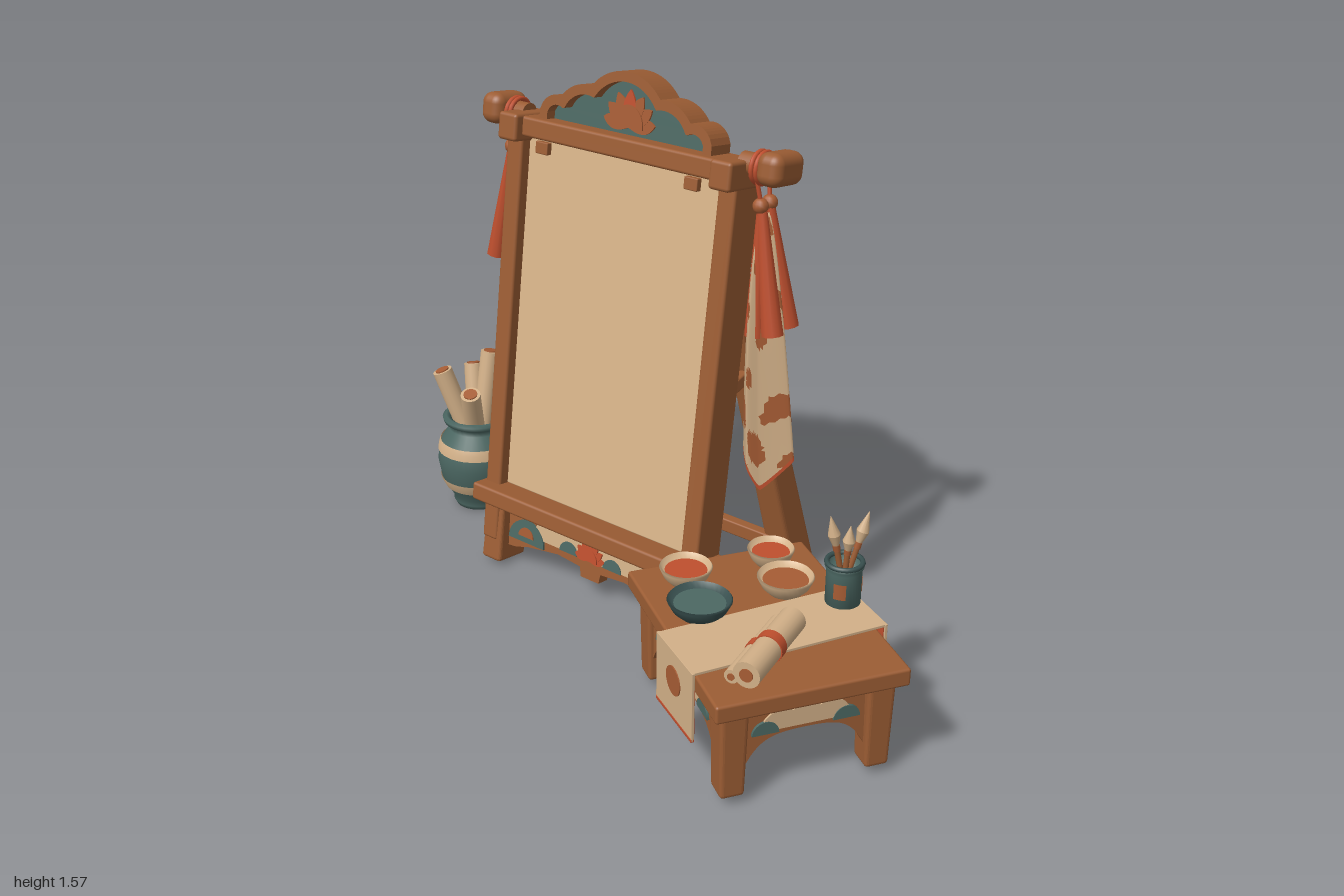
import * as THREE from 'three';
import { RoundedBoxGeometry } from 'three/addons/geometries/RoundedBoxGeometry.js';
import { ParametricGeometry } from 'three/addons/geometries/ParametricGeometry.js';

const V = (x, y, z) => new THREE.Vector3(x, y, z);
const mat = (name, color, side = THREE.FrontSide) => {
  const m = new THREE.MeshStandardMaterial({ color, side });
  m.name = name;
  return m;
};

export function createModel() {
  const wood = mat('wood', 0x9c5d34), rust = mat('rust', 0xa65c34, THREE.DoubleSide);
  const cream = mat('cream', 0xd2b088, THREE.DoubleSide), canvasTan = mat('canvas', 0xd9b58a);
  const teal = mat('teal', 0x4c6863), darkTeal = mat('darkTeal', 0x384f4e);
  const red = mat('vermilion', 0xbf4f2e, THREE.DoubleSide);
  const model = new THREE.Group();

  // helpers
  const group = (name, parent = model) => {
    const g = new THREE.Group();
    g.name = name;
    parent.add(g);
    return g;
  };
  const add = (parent, name, geo, m, x = 0, y = 0, z = 0) => {
    const o = new THREE.Mesh(geo, m);
    o.name = name;
    o.position.set(x, y, z);
    parent.add(o);
    return o;
  };
  const boxGeo = (w, h, d) => new RoundedBoxGeometry(w, h, d, 2, Math.min(w, h, d) * 0.15);
  const box = (p, name, m, w, h, d, x, y, z) => add(p, name, boxGeo(w, h, d), m, x, y, z);
  const along = (o, a, b) => {
    o.position.copy(a).add(b).multiplyScalar(0.5);
    o.quaternion.setFromUnitVectors(V(0, 1, 0), b.clone().sub(a).normalize());
    return o;
  };
  const beam = (p, name, m, a, b, w, d) => along(add(p, name, boxGeo(w, a.distanceTo(b), d), m), a, b);
  const rod = (p, name, m, a, b, rTop, rBottom = rTop, sides = 16) =>
    along(add(p, name, new THREE.CylinderGeometry(rTop, rBottom, a.distanceTo(b), sides), m), a, b);
  const taper = (geo, h, top, bottom) => {
    const q = geo.attributes.position;
    for (let i = 0; i < q.count; i++) {
      const k = THREE.MathUtils.lerp(bottom, top, q.getY(i) / h + 0.5);
      q.setXYZ(i, q.getX(i) * k, q.getY(i), q.getZ(i) * k);
    }
    geo.computeVertexNormals();
    return geo;
  };
  const lathe = pts => new THREE.LatheGeometry(pts.map(p => new THREE.Vector2(...p)), 32);
  const slab = (shape, depth) => new THREE.ExtrudeGeometry(shape, { depth, bevelEnabled: false, curveSegments: 16 });
  const poly = pts => new THREE.Shape(pts.map(p => new THREE.Vector2(...p)));
  // outline over the union of circles [x, y, r], mirrored, closed by a flat base
  const scallop = (circles, half, base) => {
    const pts = [[-half, base]];
    for (let i = 0; i <= 80; i++) {
      const x = half * (i / 40 - 1), h = circles.map(([cx, cy, r]) =>
        cy + Math.sqrt(Math.max(0, r * r - (Math.abs(x) - cx) ** 2)));
      pts.push([x, Math.max(base + 0.001, ...h)]);
    }
    pts.push([half, base]);
    return poly(pts.reverse());
  };
  const lotus = (p, x, y, z, size, outer, tip) => {
    const g = group('lotus', p);
    g.position.set(x, y, z);
    for (let i = -3; i <= 3; i++) {
      const s = new THREE.Shape(), k = size * (1 - Math.abs(i) * 0.04);
      s.moveTo(0, 0);
      s.quadraticCurveTo(size * 0.4, size * 0.55, 0, k);
      s.quadraticCurveTo(-size * 0.4, size * 0.55, 0, 0);
      const petal = add(g, 'petal', slab(s, 0.005), i ? outer : tip, 0, 0, 0.001 * (3 - Math.abs(i)));
      petal.rotation.z = -i * 0.46;
    }
    const heart = add(g, 'lotusHeart', slab(scallop([[0, 0, size * 0.5]], size * 0.5, 0), 0.004), outer, 0, 0, 0.006);
    heart.scale.y = 1.2;
  };
  // sort the triangles of a sheet into material groups by a rule on u, v
  const paint = (geo, rule, mats) => {
    const uv = geo.attributes.uv, src = geo.index.array, lists = mats.map(() => []);
    for (let i = 0; i < src.length; i += 3) {
      const t = [src[i], src[i + 1], src[i + 2]];
      const u = t.reduce((s, k) => s + uv.getX(k), 0) / 3, v = t.reduce((s, k) => s + uv.getY(k), 0) / 3;
      lists[rule(u, v)].push(...t);
    }
    geo.setIndex(lists.flat());
    let start = 0;
    lists.forEach((l, i) => { geo.addGroup(start, l.length, i); start += l.length; });
    return geo;
  };

  // leaning frame
  const easel = group('easel');
  easel.position.x = -0.175;
  const frame = group('frame', easel);
  frame.position.set(0, 0.008, -0.01);
  frame.rotation.x = -0.136;
  box(frame, 'canvas', canvasTan, 0.73, 1.09, 0.03, 0, 0.8, 0.01);
  for (const s of [-1, 1]) {
    box(frame, 'post', wood, 0.058, 1.3, 0.115, s * 0.377, 0.72, 0.003);
    add(frame, 'foot', taper(boxGeo(0.07, 0.24, 0.108), 0.24, 0.95, 1.1), wood, s * 0.368, 0.12, 0);
    box(frame, 'postCap', wood, 0.07, 0.08, 0.155, s * 0.375, 1.357, 0.022);
    box(frame, 'clip', wood, 0.045, 0.035, 0.02, s * 0.265, 1.312, 0.06);
    rod(frame, 'rollerEnd', wood, V(s * 0.38, 1.385, 0), V(s * 0.47, 1.385, 0), 0.032);
    add(frame, 'knob', new RoundedBoxGeometry(0.078, 0.09, 0.135, 4, 0.03), wood, s * 0.487 + 0.008, 1.39, 0);
  }
  box(frame, 'topRail', wood, 0.82, 0.058, 0.125, 0, 1.362, 0.008);
  box(frame, 'bottomRail', wood, 0.835, 0.055, 0.16, 0, 0.229, 0.027);

  // scalloped crest
  const arcs = [[0, 1.41, 0.156], [0.135, 1.395, 0.115], [0.24, 1.4, 0.065]];
  const inset = d => arcs.map(([x, y, r]) => [x, y, r - d]);
  const crest = scallop(arcs, 0.303, 1.38);
  crest.holes.push(scallop(inset(0.028), 0.275, 1.383));
  add(frame, 'crestBand', slab(crest, 0.085), wood, 0, 0, -0.042);
  add(frame, 'crestPanel', slab(scallop(inset(0.02), 0.283, 1.382), 0.03), teal, 0, 0, -0.02);
  lotus(frame, 0, 1.412, 0.012, 0.105, rust, red);

  // apron below the canvas with painted inlays on both faces
  const board = poly([[-0.35, 0.22], [-0.35, 0.05], [-0.3, 0.055], [-0.25, 0.07], [-0.13, 0.088], [-0.04, 0.08],
    [-0.035, 0.05], [0.035, 0.05], [0.04, 0.08], [0.13, 0.088], [0.25, 0.07], [0.3, 0.055], [0.35, 0.05], [0.35, 0.22]]);
  add(frame, 'apron', slab(board, 0.04), wood, 0, 0, -0.02);
  const creamInlay = scallop([[0.15, 0.112, 0.08], [0.07, 0.11, 0.08], [0, 0.11, 0.083]], 0.228, 0.111);
  add(frame, 'apronCream', slab(creamInlay, 0.048), cream, 0, 0, -0.024);
  for (const s of [-1, 1]) {
    for (const [x, r, y] of [[0.255, 0.072, 0.085], [0.085, 0.035, 0.11]])
      add(frame, 'apronTeal', slab(scallop([[0, y, r]], r, y), 0.054), teal, s * x, 0, -0.027);
    add(frame, 'apronSpot', slab(scallop([[0, 0.1, 0.03]], 0.03, 0.1), 0.06), rust, s * 0.255, 0.004, -0.03);
  }
  lotus(frame, 0, 0.115, 0.025, 0.065, red, red);

  // rear support
  const rear = group('rearSupport', easel);
  for (const s of [-1, 1]) {
    const a = V(s * 0.369, 0.014, -0.534), b = V(s * 0.3, 1.058, -0.254), len = a.distanceTo(b);
    along(add(rear, 'rearLeg', taper(boxGeo(0.082, len, 0.1), len, 0.88, 1.1), wood), a, b);
    beam(rear, 'sideRail', wood, V(s * 0.362, 0.115, -0.04), V(s * 0.36, 0.115, -0.48), 0.04, 0.05);
    beam(rear, 'sideStub', wood, V(s * 0.37, 0.72, -0.12), V(s * 0.325, 0.72, -0.34), 0.035, 0.035);
  }
  box(rear, 'rearTopRail', wood, 0.66, 0.065, 0.06, 0, 1.035, -0.248);
  box(rear, 'rearLowRail', wood, 0.7, 0.045, 0.035, 0, 0.115, -0.458);
  box(rear, 'hingeBlock', wood, 0.105, 0.075, 0.06, 0, 1.078, -0.262);
  for (const s of [-1, 1]) rod(rear, 'peg', darkTeal, V(s * 0.022, 1.078, -0.28), V(s * 0.022, 1.078, -0.295), 0.009);
  beam(rear, 'centreStrut', wood, V(0, 0.055, -0.472), V(0, 1.05, -0.26), 0.068, 0.06);

  // hanging cloths on both sides
  for (const s of [-1, 1]) {
    const h = group(s < 0 ? 'rightHanging' : 'leftHanging', easel);
    h.position.set(0.008, 0, -0.2);
    for (const x of [0.425, 0.44]) {
      const loop = add(h, 'cordRing', new THREE.TorusGeometry(0.042, 0.007, 8, 20), red, s * x, 1.378, 0.003);
      loop.rotation.y = Math.PI / 2;
    }
    for (const z of [-0.03, 0.03]) {
      rod(h, 'cord', red, V(s * 0.433, 1.36, z), V(s * 0.445, 1.27, z * 0.6), 0.006);
      add(h, 'knot', new THREE.SphereGeometry(0.022, 12, 8), rust, s * 0.443, 1.28, z * 0.7);
    }
    for (const [x, y, z] of [[0.505, 0.935, 0.036], [0.505, 0.94, -0.036], [0.448, 0.92, 0.034], [0.45, 0.93, -0.038]])
      rod(h, 'redCloth', red, V(s * x, y, z), V(s * 0.445, 1.275, z * 0.5), 0.014, 0.031, 10);
    const hem = new THREE.CatmullRomCurve3([V(0.567, 0.565, 0), V(0.5, 0.478, 0.062), V(0.47, 0.54, 0.086),
      V(0.428, 0.58, 0.045), V(0.435, 0.61, -0.02), V(0.46, 0.62, -0.065), V(0.515, 0.59, -0.035)], true, 'catmullrom', 0.2);
    const p = V(0, 0, 0);
    const sheet = new ParametricGeometry((u, v, out) => {
      hem.getPoint(u, p);
      const k = 0.15 + 0.85 * Math.pow(v, 0.6), cx = 0.445 + 0.047 * v;
      out.set(s * (cx + (p.x - 0.492) * k), 1.26 + (p.y - 1.26) * v, p.z * (k + 0.7 * v * (1 - v)));
    }, 56, 60);
    add(h, 'patternedCloth', paint(sheet, (u, v) => v > 0.98 ? 2 :
      Math.sin(u * 19 + 5 * v) * Math.sin(v * 23 + Math.sin(u * 12)) > (v > 0.72 ? 0.15 : 0.62) ? 1 : 0,
      [cream, rust, red]), [cream, rust, red]);
  }

  // jar with rolled sheets
  const jar = group('jar');
  jar.position.set(-0.865, 0, -0.24);
  const wall = [[0, 0], [0.08, 0], [0.087, 0.015], [0.085, 0.03], [0.11, 0.07], [0.124, 0.105], [0.133, 0.16], [0.129, 0.2],
    [0.118, 0.235], [0.092, 0.272], [0.09, 0.288], [0.108, 0.298], [0.112, 0.312], [0.1, 0.32], [0.084, 0.31], [0.08, 0.25], [0, 0.25]];
  add(jar, 'jarBody', lathe(wall), teal);
  for (const band of [[[0.11, 0.07], [0.119, 0.088], [0.124, 0.105]], [[0.129, 0.2], [0.125, 0.22], [0.119, 0.235]]])
    add(jar, 'jarBand', lathe(band.map(([r, y]) => [r + 0.003, y])), cream);
  for (const [x, y, z] of [[-0.005, 0.51, -0.08], [-0.09, 0.465, 0.06], [0.06, 0.43, 0.085], [-0.07, 0.455, -0.065]]) {
    const a = V(x * 0.3, 0.25, z * 0.3), b = V(x, y, z), tip = b.clone().sub(a).normalize().multiplyScalar(0.004).add(b);
    rod(jar, 'rolledSheet', cream, a, b, 0.032);
    rod(jar, 'rollCore', rust, a, tip, 0.022);
  }

  // low table
  const table = group('table');
  table.position.set(0.579, 0, 0.19);
  table.rotation.y = -0.562;
  box(table, 'tableTop', wood, 0.664, 0.05, 0.515, 0, 0.3, 0);
  for (const x of [-0.267, 0.267]) for (const z of [-0.196, 0.196])
    add(table, 'tableLeg', taper(boxGeo(0.078, 0.26, 0.072), 0.26, 1.05, 0.9), wood, x, 0.155, z);
  const apron = (len, dist, turn) => {
    const side = group('tableApron', table);
    side.rotation.y = turn;
    const s = new THREE.Shape(), w = len / 2;
    s.moveTo(-w, 0.28);
    s.lineTo(-w, 0.09);
    s.bezierCurveTo(-w + 0.04, 0.17, -w + 0.07, 0.182, 0, 0.182);
    s.bezierCurveTo(w - 0.07, 0.182, w - 0.04, 0.17, w, 0.09);
    s.lineTo(w, 0.28);
    add(side, 'apronBoard', slab(s, 0.024), wood, 0, 0, dist - 0.012);
    const centre = scallop([[0, 0.2, 0.055], [w * 0.4, 0.195, 0.055]], w * 0.8, 0.194);
    add(side, 'apronCream', slab(centre, 0.005), cream, 0, 0, dist + 0.012);
    for (const k of [-1, 1])
      add(side, 'apronTeal', slab(scallop([[0, 0.19, 0.036]], 0.036, 0.19), 0.007), teal, k * w * 0.66, -0.003, dist + 0.012);
    const lining = poly([[-w * 0.9, 0.188], [w * 0.9, 0.188], [w * 0.9, 0.272], [-w * 0.9, 0.272]]);
    add(side, 'apronLining', slab(lining, 0.004), cream, 0, 0, dist - 0.016);
  };
  for (const t of [0, Math.PI]) {
    apron(0.47, 0.206, t);
    apron(0.33, 0.272, t + Math.PI / 2);
  }

  // runner draped over the table, lined in vermilion
  const runner = group('runner', table);
  runner.position.x = 0.065;
  runner.rotation.y = 0.09;
  box(runner, 'runnerTop', cream, 0.205, 0.008, 0.55, 0, 0.329, 0);
  for (const [s, low] of [[-1, 0.108], [1, 0.133]]) {
    const h = 0.333 - low;
    box(runner, 'runnerDrop', cream, 0.21, h, 0.008, 0, low + h / 2, s * 0.273);
    box(runner, 'runnerLining', red, 0.2, h - 0.005, 0.004, 0, low + h / 2, s * 0.268);
    box(runner, 'runnerHem', red, 0.21, 0.01, 0.01, 0, low + 0.003, s * 0.273);
    const disc = add(runner, 'runnerDisc', new THREE.CylinderGeometry(0.04, 0.04, 0.004, 20), rust, 0, 0.25, s * 0.278);
    disc.rotation.x = Math.PI / 2;
  }

  // paint bowls
  const bowls = [[0.436, -0.05, 0.065, cream, red], [0.55, 0.045, 0.077, cream, rust],
    [0.315, 0.172, 0.072, cream, red], [0.443, 0.28, 0.086, darkTeal, teal]];
  for (const [x, z, r, shell, fill] of bowls) {
    const bowl = group('bowl');
    bowl.position.set(x, 0.325, z);
    add(bowl, 'bowlShell', lathe([[0, 0], [r * 0.6, 0], [r * 0.85, 0.02], [r, 0.045], [r * 0.95, 0.05], [r * 0.8, 0.03], [0, 0.024]]), shell);
    add(bowl, 'bowlPaint', new THREE.CylinderGeometry(r * 0.8, r * 0.75, 0.008, 28), fill, 0, 0.031, 0);
  }

  // brush pot
  const pot = group('brushPot');
  pot.position.set(0.7, 0.328, 0);
  add(pot, 'potBody', lathe([[0, 0], [0.047, 0], [0.047, 0.1], [0.052, 0.112], [0.052, 0.125], [0.042, 0.125], [0.04, 0.09], [0, 0.09]]), teal);
  add(pot, 'potRim', new THREE.TorusGeometry(0.047, 0.007, 8, 28).rotateX(Math.PI / 2), darkTeal, 0, 0.122, 0);
  for (let i = 0; i < 3; i++)
    add(pot, 'potPatch', new THREE.CylinderGeometry(0.0485, 0.0485, 0.045, 8, 1, true, i * 2.1, 0.7), rust, 0, 0.055, 0);
  for (const [x, y, z] of [[-0.028, 0.26, 0.035], [0.035, 0.26, -0.05], [0.012, 0.23, 0.0]]) {
    const a = V(x * 0.2, 0.09, z * 0.2), b = V(x, y, z), at = t => a.clone().lerp(b, t);
    rod(pot, 'brushHandle', wood, a, at(0.62), 0.008, 0.008, 8);
    rod(pot, 'brushFerrule', rust, at(0.4), at(0.5), 0.01, 0.01, 8);
    rod(pot, 'brushBelly', cream, at(0.5), at(0.68), 0.017, 0.009, 10);
    rod(pot, 'brushTip', cream, at(0.68), b, 0.001, 0.017, 10);
  }

  // scroll on the table
  const scroll = group('scroll');
  scroll.position.set(0.7, 0.333, 0.345);
  scroll.rotation.y = 0.19;
  for (const [x, r] of [[0.008, 0.036], [-0.032, 0.019]]) {
    rod(scroll, 'scrollRoll', cream, V(x, r, -0.14), V(x, r, 0.14), r, r, 20);
    rod(scroll, 'scrollCore', rust, V(x, r, -0.143), V(x, r, 0.143), r * 0.5);
    rod(scroll, 'scrollTie', red, V(x, r, -0.015), V(x, r, 0.015), r + 0.003, r + 0.003, 20);
  }
  return model;
}
